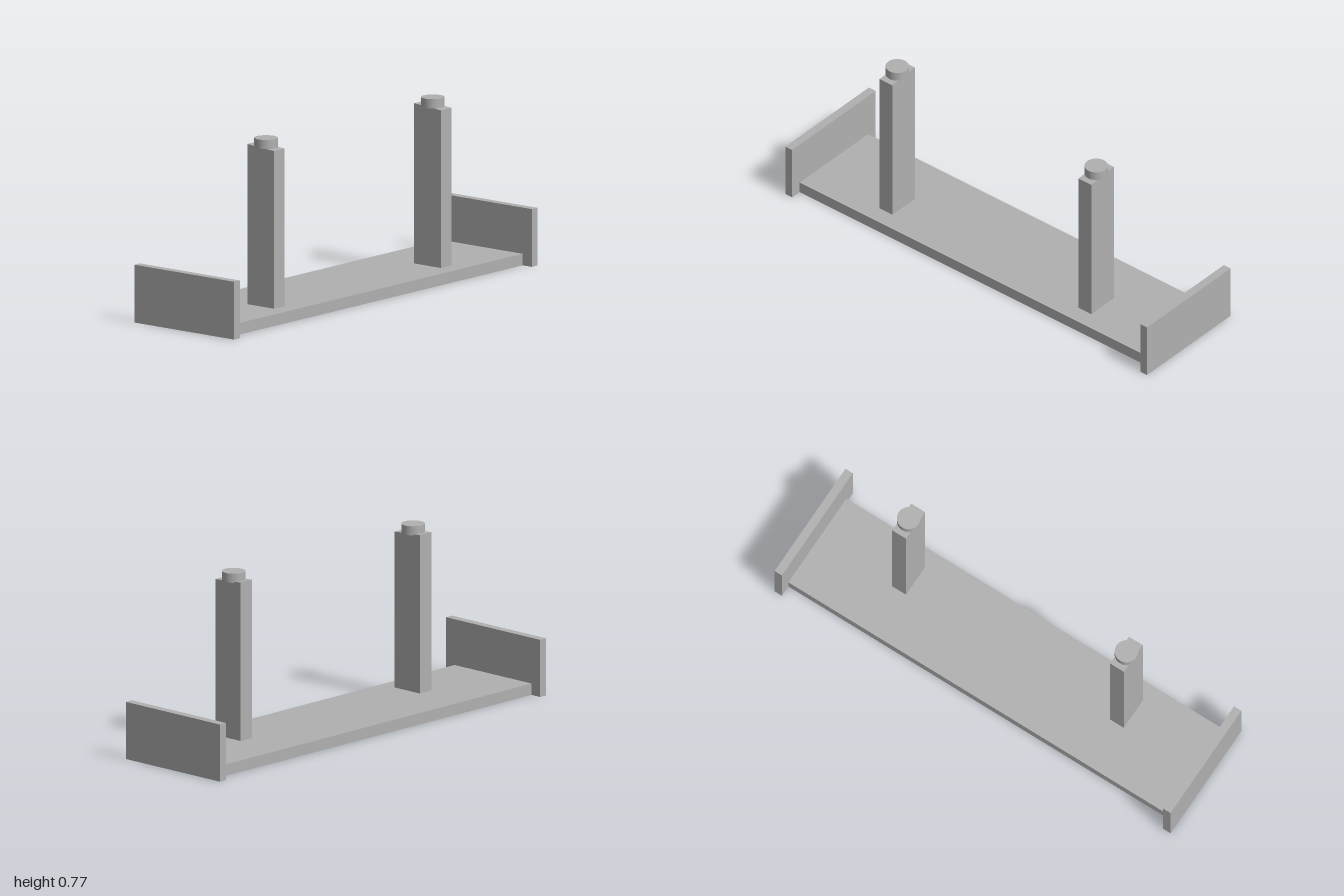
import * as THREE from 'three';

export function createModel() {
  const model = new THREE.Group();
  model.name = 'rack';
  const grey = new THREE.MeshStandardMaterial({ color: 0xb0b0b0 });
  grey.name = 'plain grey';

  const add = (name, geometry, x, y, z) => {
    const mesh = new THREE.Mesh(geometry, grey);
    mesh.name = name;
    mesh.position.set(x, y, z);
    model.add(mesh);
  };

  // Long base plate
  add('basePlate', new THREE.BoxGeometry(0.45, 0.05, 1.926), 0, 0.025, 0);

  // Post outline, with a gently sloping top
  const postWidth = 0.148, postDepth = 0.07;
  const outline = new THREE.Shape([
    new THREE.Vector2(0, 0.05),
    new THREE.Vector2(postWidth, 0.05),
    new THREE.Vector2(postWidth, 0.732),
    new THREE.Vector2(0, 0.743),
  ]);
  const post = new THREE.ExtrudeGeometry(outline, { depth: postDepth, bevelEnabled: false });
  post.translate(0, 0, -postDepth / 2);

  // Round cap, wider than the post is deep
  const cap = new THREE.CylinderGeometry(0.05, 0.05, 0.04, 40);
  const endBoard = new THREE.BoxGeometry(0.55, 0.25, 0.037);

  // Matching end boards, posts and caps at front and back
  for (const [label, side] of [['front', 1], ['back', -1]]) {
    add(label + 'EndBoard', endBoard, 0, 0.125, side * 0.9815);
    add(label + 'Post', post, 0, 0, side * 0.55);
    add(label + 'Cap', cap, postWidth / 2, 0.755, side * 0.55);
  }
  return model;
}
